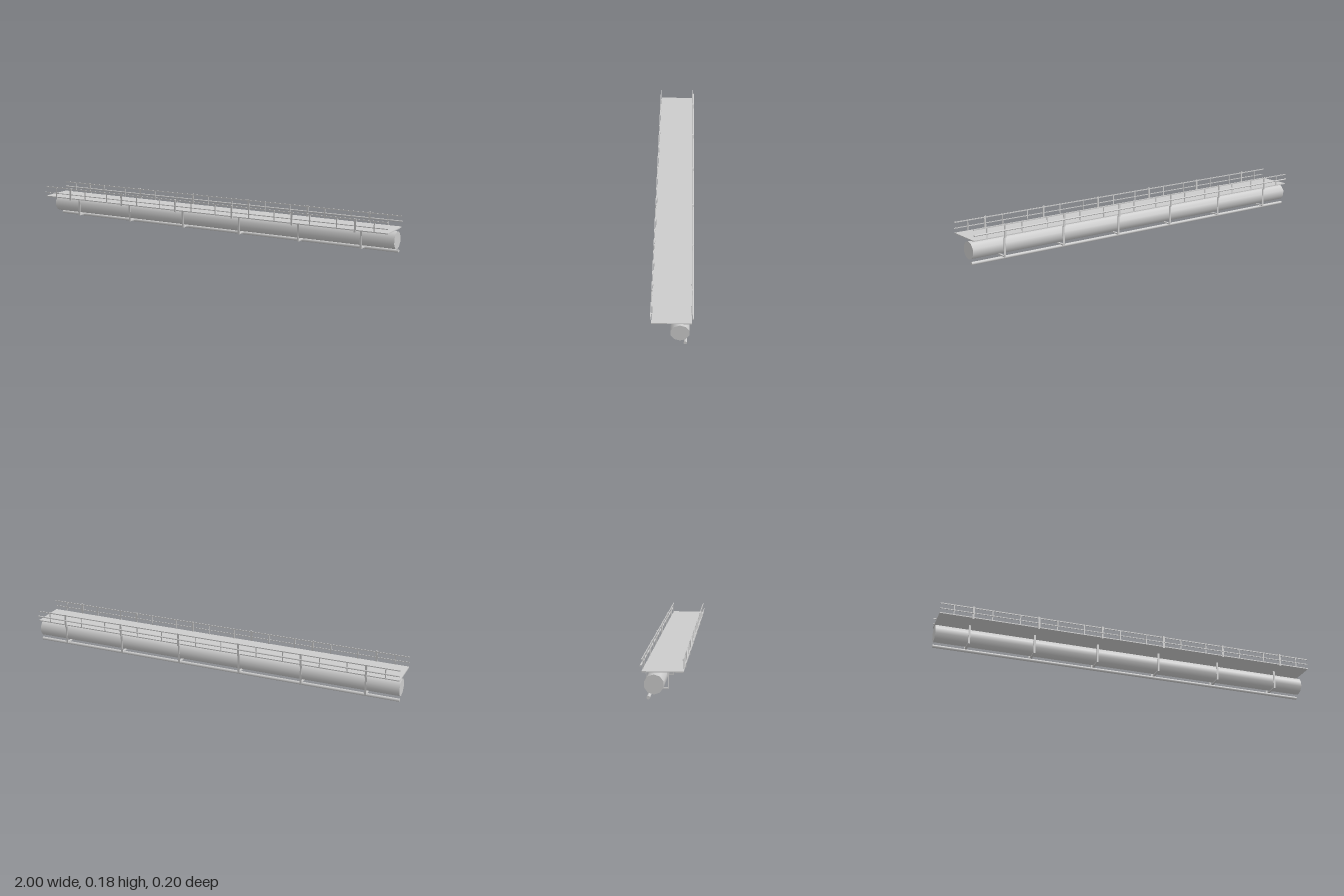
import * as THREE from 'three';

export function createModel() {
  const model = new THREE.Group();
  const material = new THREE.MeshStandardMaterial({ color: 0xcccccc });
  const LENGTH = 2;

  const box = (name, parent, [w, h, d], [x, y, z]) => {
    const mesh = new THREE.Mesh(new THREE.BoxGeometry(w, h, d), material);
    mesh.name = name;
    mesh.position.set(x, y, z);
    parent.add(mesh);
  };

  // Tube along x with a corner of its polygon at the top
  const pipe = (name, parent, radius, sides, y, z) => {
    const geometry = new THREE.CylinderGeometry(radius, radius, LENGTH, sides, 1, false, Math.PI / 2);
    geometry.rotateZ(Math.PI / 2);
    const mesh = new THREE.Mesh(geometry, material);
    mesh.name = name;
    mesh.position.set(0, y, z);
    parent.add(mesh);
  };

  // Walkway and the pipes below it
  box('walkwayDeck', model, [LENGTH, 0.005, 0.182], [0, 0.1215, 0.001]);
  pipe('mainPipe', model, 0.0442, 10, 0.0662, -0.0365);
  pipe('smallPipe', model, 0.008, 10, 0.008, -0.061);

  // Railings along both edges
  const railings = [
    { name: 'frontRailing', side: 1 },
    { name: 'backRailing', side: -1 },
  ].map(({ name, side }) => {
    const railing = new THREE.Group();
    railing.name = name;
    model.add(railing);
    box('topRail', railing, [LENGTH, 0.005, 0.003], [0, 0.1745, side * 0.0895]);
    return { railing, side };
  });
  box('middleRail', railings[0].railing, [LENGTH, 0.004, 0.003], [0, 0.144, 0.0955]);
  pipe('middleRail', railings[1].railing, 0.004, 8, 0.148, -0.0945);

  // Six equal bays: U-shaped hanger, two long posts and lighter posts beside them
  for (let i = 0; i < 6; i++) {
    const x = (i - 2.5) / 3;
    const hanger = new THREE.Group();
    hanger.name = 'pipeHanger';
    hanger.position.x = x;
    model.add(hanger);
    box('frontHangerBar', hanger, [0.01, 0.097, 0.004], [0, 0.0665, 0.0138]);
    box('backHangerBar', hanger, [0.01, 0.097, 0.003], [0, 0.0665, -0.085]);
    box('hangerCrossbar', hanger, [0.01, 0.006, 0.102], [0, 0.0185, -0.0355]);

    for (const { railing, side } of railings) {
      box('mainPost', railing, [0.01, 0.068, 0.004], [x, 0.146, side * 0.0925]);
      for (const dx of [-0.096, 0.096]) {
        box('lightPost', railing, [0.005, 0.054, 0.003], [x + dx, 0.149, side * 0.0895]);
      }
    }
  }

  return model;
}
